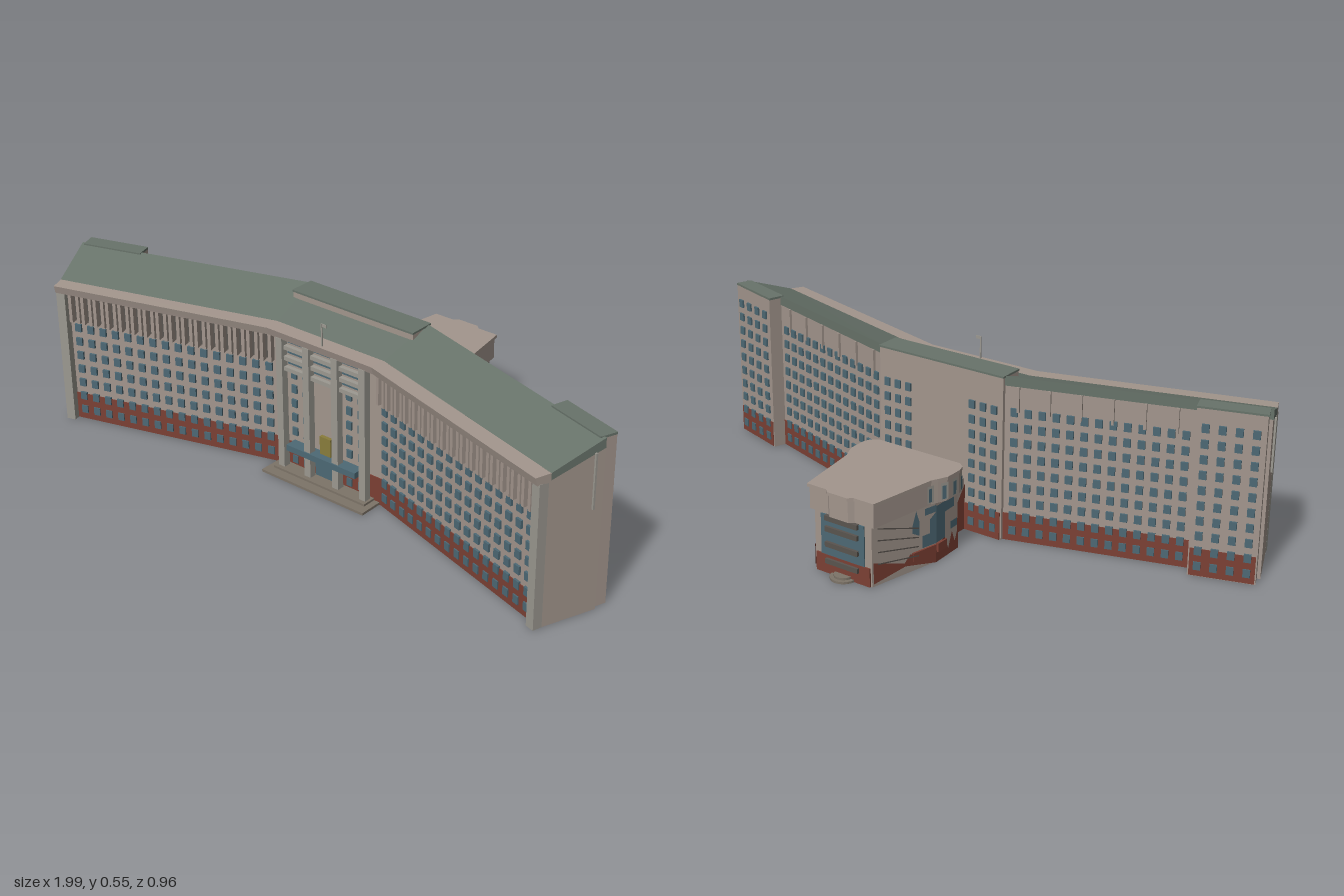
import * as THREE from 'three';
import { mergeGeometries } from 'three/addons/utils/BufferGeometryUtils.js';

const COLORS = {
  wall: 0xa3968d, roof: 0x68736a, red: 0x7c4034, glass: 0x4d6975,
  trim: 0x9c9991, dark: 0x59544f, step: 0x7d7468, gold: 0x8a7d3c,
};
const MATS = {};
for (const k in COLORS) {
  MATS[k] = new THREE.MeshStandardMaterial({ color: COLORS[k], flatShading: true, side: THREE.DoubleSide });
}

// Plan of a wing: back and front corners at the bend (s=0) and at the end (s=1); t runs back to front
const B0 = [0.225, 0.045], F0 = [0.2, 0.27], B1 = [0.99, 0.275], F1 = [0.91, 0.475];
const mix = (a, b, k) => a + (b - a) * k;
function at(s, t, side = 1) {
  const [x, z] = [0, 1].map(i => mix(mix(B0[i], F0[i], t), mix(B1[i], F1[i], t), s));
  return [x * side, z];
}
const YAW = -0.285;

// Sweep a (t, y) profile through stations given as [s, side]
function loft(profile, stations) {
  const rings = stations.map(([s, side]) => profile.map(([t, y]) => {
    const [x, z] = at(s, t, side);
    return [x, y, z];
  }));
  const pos = [], n = profile.length, last = rings.length - 1;
  for (let k = 0; k < last; k++) {
    for (let i = 0; i < n; i++) {
      const j = (i + 1) % n, a = rings[k], b = rings[k + 1];
      pos.push(...a[i], ...a[j], ...b[j], ...a[i], ...b[j], ...b[i]);
    }
  }
  const caps = THREE.ShapeUtils.triangulateShape(profile.map(p => new THREE.Vector2(...p)), []);
  for (const [a, b, c] of caps) {
    pos.push(...rings[0][a], ...rings[0][b], ...rings[0][c]);
    pos.push(...rings[last][a], ...rings[last][c], ...rings[last][b]);
  }
  const g = new THREE.BufferGeometry();
  g.setAttribute('position', new THREE.Float32BufferAttribute(pos, 3));
  g.computeVertexNormals();
  return g;
}
const across = s => [[s, -1], [0, -1], [0, 1], [s, 1]];
const wingSpan = (s0, s1, side) => side > 0 ? [[s0, 1], [s1, 1]] : [[s1, -1], [s0, -1]];

// Box standing on y0
function box(w, h, d, x, y0, z, yaw = 0) {
  return new THREE.BoxGeometry(w, h, d).rotateY(yaw).translate(x, y0 + h / 2, z);
}
const wingBox = (w, h, d, s, t, y0, side) => {
  const [x, z] = at(s, t, side);
  return box(w, h, d, x, y0, z, YAW * side);
};

// Mirrored plan outline raised from y0 to y1
function prism(half, y0, y1) {
  const pts = [...half, ...half.map(([x, z]) => [-x, z]).reverse()];
  const shape = new THREE.Shape(pts.map(([x, z]) => new THREE.Vector2(x, -z)));
  return new THREE.ExtrudeGeometry(shape, { depth: y1 - y0, bevelEnabled: false })
    .rotateX(-Math.PI / 2).translate(0, y0, 0);
}

// Rear hall plan, right half
const HALL = [[0.15, -0.07], [0.17, -0.085], [0.178, -0.11], [0.178, -0.17], [0.165, -0.2],
  [0.155, -0.22], [0.12, -0.45], [0.05, -0.45], [0.035, -0.463]];
const LOWER = [[0.15, -0.08], [0.155, -0.2], [0.105, -0.44]];

// Flat (z, y) panel laid against the side of a plan outline
function sidePanel(pts, outline, off, side) {
  const g = new THREE.ShapeGeometry(new THREE.Shape(pts.map(p => new THREE.Vector2(...p))));
  const p = g.attributes.position;
  for (let i = 0; i < p.count; i++) {
    const z = p.getX(i), y = p.getY(i);
    let k = 0;
    while (k < outline.length - 2 && outline[k + 1][1] > z) k++;
    const [a, b] = [outline[k], outline[k + 1]];
    p.setXYZ(i, side * (mix(a[0], b[0], (z - a[1]) / (b[1] - a[1])) + off), y, z);
  }
  g.computeVertexNormals();
  return g;
}
const rect = (z0, z1, y0, y1) => [[z0, y0], [z1, y0], [z1, y1], [z0, y1]];

export function createModel() {
  const model = new THREE.Group();
  const add = (name, mat, list) => {
    const geos = list.map(g => {
      const plain = g.index ? g.toNonIndexed() : g;
      plain.deleteAttribute('uv');
      return plain;
    });
    const mesh = new THREE.Mesh(mergeGeometries(geos), MATS[mat]);
    mesh.name = name;
    model.add(mesh);
  };
  const SIDES = [-1, 1];

  // Main bent block, end piers and roof
  add('mainWalls', 'wall', [
    loft([[0.01, 0], [0.01, 0.515], [0.76, 0.46], [0.82, 0.45], [0.82, 0]], across(0.99)),
    box(0.46, 0.53, 0.08, 0, 0, 0.078),
    ...SIDES.map(e => loft([[0, 0], [0, 0.53], [0.76, 0.472], [0.9, 0.455], [0.9, 0]], wingSpan(0.965, 0.998, e))),
    ...SIDES.map(e => loft([[-0.2, 0], [-0.2, 0.53], [0.05, 0.53], [0.05, 0]], wingSpan(0.735, 0.985, e))),
  ]);
  add('roof', 'roof', [
    loft([[0, 0.505], [0, 0.535], [0.775, 0.477], [0.775, 0.455]], across(1)),
    box(0.464, 0.006, 0.085, 0, 0.53, 0.078),
    ...SIDES.map(e => loft([[-0.2, 0.529], [-0.2, 0.536], [0.05, 0.536], [0.05, 0.529]], wingSpan(0.733, 0.988, e))),
  ]);
  add('eaves', 'wall', [loft([[0.77, 0.45], [0.77, 0.477], [1, 0.475], [0.97, 0.45]], across(1))]);
  add('redBase', 'red', [
    loft([[0, 0], [0, 0.09], [0.835, 0.09], [0.835, 0]], across(0.965)),
    ...SIDES.map(e => loft([[-0.21, 0.002], [-0.21, 0.09], [0, 0.09], [0, 0.002]], wingSpan(0.74, 0.98, e))),
    ...SIDES.map(e => box(0.13, 0.09, 0.006, e * 0.16, 0, 0.037)),
  ]);

  // Window grids on both faces, with tall fins above the front ones
  const windows = [], fins = [], slots = [];
  const ROW = 0.0485;
  for (const e of SIDES) {
    for (let c = 0; c < 16; c++) {
      const s = 0.03 + c * 0.0595;
      for (let r = 0; r < 7; r++) windows.push(wingBox(0.022, 0.026, 0.008, s, 0.835, 0.022 + r * ROW, e));
      slots.push(wingBox(0.024, 0.09, 0.006, s, 0.825, 0.355, e));
      fins.push(wingBox(0.011, 0.1, 0.022, s - 0.018, 0.87, 0.35, e), wingBox(0.011, 0.1, 0.022, s + 0.018, 0.87, 0.35, e));
    }
    for (let c = 0; c < 13; c++) {
      for (let r = 0; r < 9; r++) windows.push(wingBox(0.022, 0.026, 0.008, 0.045 + c * 0.054, 0, 0.022 + r * ROW, e));
    }
    for (let c = 0; c < 4; c++) {
      for (let r = 0; r < 10; r++) windows.push(wingBox(0.022, 0.026, 0.008, 0.77 + c * 0.06, -0.21, 0.022 + r * ROW, e));
    }
    for (const x of [0.12, 0.16, 0.2]) {
      for (let r = 0; r < 9; r++) windows.push(box(0.02, 0.026, 0.01, e * x, 0.022 + r * ROW, 0.037));
    }
    for (const x of [0.085, 0.13]) {
      for (let r = 0; r < 7; r++) windows.push(box(0.02, 0.026, 0.008, e * x, 0.022 + r * ROW, 0.232));
    }
    for (let c = 0; c < 6; c++) fins.push(wingBox(0.008, 0.08, 0.012, 0.06 + c * 0.12, 0, 0.425, e));
  }
  add('windows', 'glass', windows);
  add('fins', 'wall', fins);
  add('upperSlots', 'dark', slots);

  // Corner columns, entrance columns and drain pipes
  add('columns', 'trim', [
    ...SIDES.map(e => wingBox(0.03, 0.452, 0.03, 0.98, 0.87, 0, e)),
    ...[-0.16, -0.055, 0.055, 0.16].map(x => box(0.024, 0.452, 0.024, x, 0, 0.254)),
    ...SIDES.map(e => wingBox(0.006, 0.17, 0.006, 1.005, 0.15, 0.33, e)),
  ]);
  add('entranceBeams', 'trim', [0.345, 0.38, 0.415].map(y => box(0.32, 0.013, 0.014, 0, y, 0.25)));
  add('entranceGlazing', 'glass', [0.36, 0.395, 0.43].map(y => box(0.3, 0.016, 0.006, 0, y, 0.234))
    .concat(box(0.09, 0.07, 0.006, 0, 0.01, 0.236)));
  add('entranceCanopy', 'glass', [box(0.27, 0.02, 0.04, 0, 0.08, 0.25)]);
  add('entrancePanel', 'gold', [box(0.042, 0.06, 0.012, 0, 0.1, 0.24)]);
  add('entranceSteps', 'step', [box(0.4, 0.008, 0.09, 0, 0, 0.267), box(0.36, 0.015, 0.06, 0, 0, 0.25)]);
  add('flagPole', 'trim', [box(0.004, 0.075, 0.004, 0.005, 0.473, 0.258), box(0.018, 0.01, 0.002, 0.013, 0.538, 0.258)]);

  // Rear hall and its link to the main block
  add('link', 'wall', [box(0.18, 0.17, 0.13, 0, 0, -0.022)]);
  add('hallBody', 'wall', [prism(LOWER, 0, 0.2)]);
  const cornice = HALL.map(([x, z]) => [x * 1.02, z - 0.002]);
  add('hallUpper', 'wall', [prism(HALL.map(([x, z]) => [x * 0.98, z + 0.004]), 0.195, 0.268), prism(cornice, 0.266, 0.276)]);

  const red = [], glass = [], ledges = [], niches = [];
  for (const e of SIDES) {
    const low = (list, pts, off = 0.004) => list.push(sidePanel(pts, LOWER, off, e));
    // Red wedges beside the link and jagged base
    red.push(sidePanel([[0.04, 0], [0.04, 0.155], [-0.08, 0]], [[0.094, 0.04], [0.094, -0.08]], 0, e));
    low(red, [[-0.08, 0], [-0.08, 0.075], [-0.1, 0.03], [-0.115, 0.07], [-0.135, 0.02], [-0.155, 0.07], [-0.2, 0.035], [-0.2, 0]]);
    low(red, [[-0.3, 0.03], [-0.438, 0.078], [-0.438, 0.01]]);
    low(red, [[-0.2, 0], [-0.2, 0.035], [-0.3, 0.06], [-0.33, 0.03]]);
    // Glazing
    for (const r of [[-0.105, -0.2, 0.15, 0.185], [-0.155, -0.2, 0.065, 0.15], [-0.2, -0.245, 0.168, 0.19],
      [-0.2, -0.255, 0.065, 0.105], [-0.09, -0.125, 0.08, 0.105]]) low(glass, rect(...r), 0.005);
    low(glass, [[-0.2, 0.105], [-0.2, 0.168], [-0.225, 0.15], [-0.225, 0.105]], 0.005);
    low(glass, [[-0.265, 0.11], [-0.265, 0.155], [-0.278, 0.193], [-0.292, 0.15], [-0.292, 0.125]], 0.005);
    // Rising ledges along the seating rake
    for (let k = 0; k < 4; k++) {
      const a = 0.045 + k * 0.03, b = 0.07 + k * 0.038;
      low(ledges, [[-0.27, a], [-0.425, b], [-0.425, b + 0.004], [-0.27, a + 0.004]], 0.007);
    }
    // Upper niches
    for (const z of [-0.095, -0.135, -0.18, -0.225]) {
      niches.push(sidePanel(rect(z + 0.012, z - 0.012, 0.203, 0.258), HALL, 0.002, e));
      glass.push(sidePanel(rect(z + 0.004, z - 0.009, 0.207, 0.25), HALL, 0.004, e));
    }
    red.push(box(0.012, 0.028, 0.045, e * 0.157, 0.032, -0.172));
    red.push(box(0.012, 0.028, 0.09, 0, 0, 0).rotateY(e * 0.205).translate(e * 0.146, 0.032, -0.245));
  }
  // Back face of the hall
  glass.push(box(0.16, 0.13, 0.006, 0, 0.06, -0.441));
  red.push(box(0.2, 0.06, 0.008, 0, 0, -0.441));
  for (const y of [0.035, 0.09, 0.14, 0.175]) ledges.push(box(0.12, 0.016, 0.014, 0, y, -0.446));
  add('hallRedPanels', 'red', red);
  add('hallGlazing', 'glass', glass);
  add('hallLedges', 'dark', ledges);
  add('hallNiches', 'trim', niches);
  add('hallSteps', 'step', [0, 1].map(k =>
    new THREE.CylinderGeometry(0.042 - k * 0.012, 0.042 - k * 0.012, 0.007, 20).translate(0, 0.0035 + k * 0.007, -0.441)));
  return model;
}
